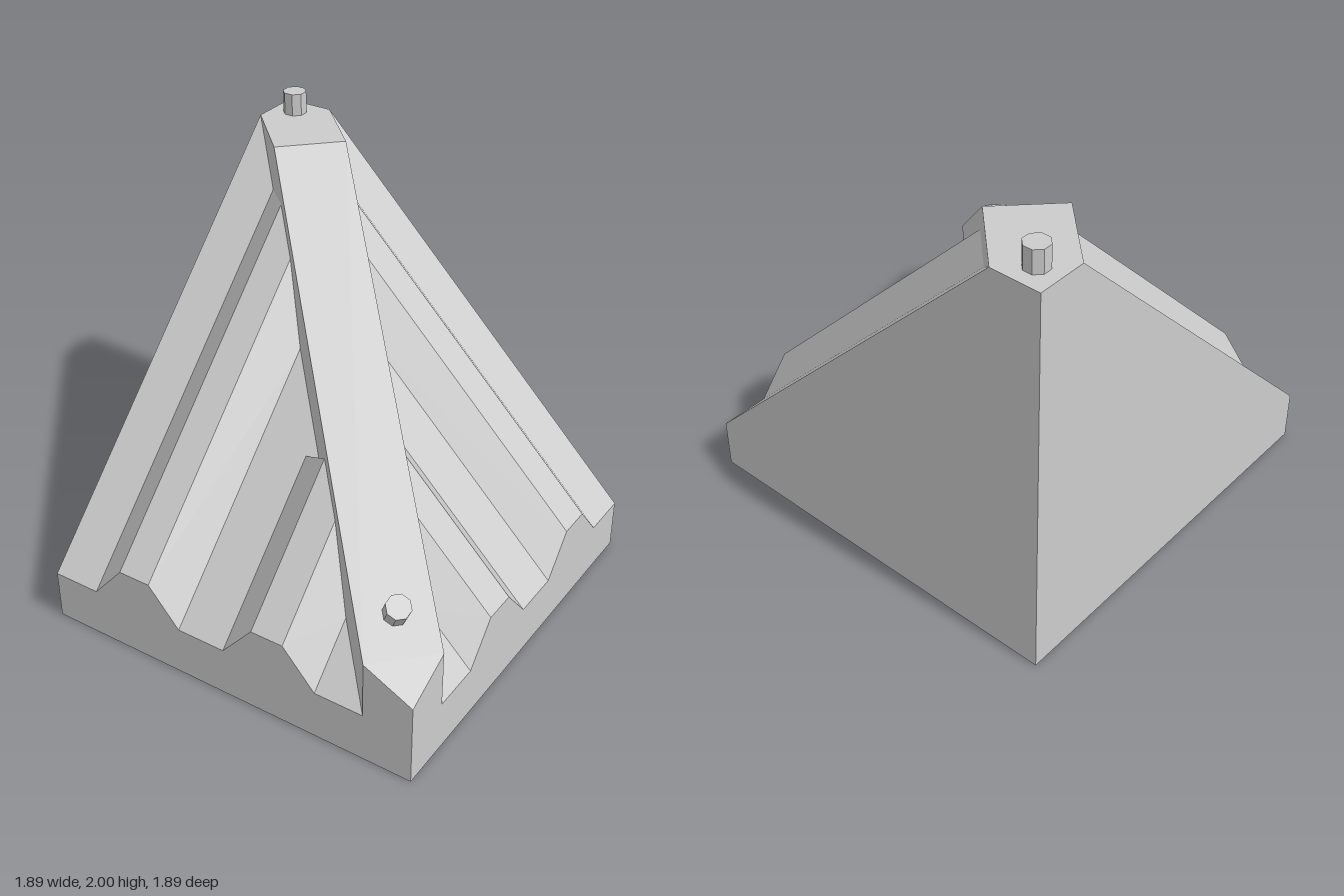
import * as THREE from 'three';
import { ConvexGeometry } from 'three/addons/geometries/ConvexGeometry.js';

const H = 0.945;      // half width of the square base
const W = 0.235;      // offset of the hip beam's walls from the diagonal
const TOP = 1.895;    // height of the flat peak
const EAVE = 0.24, RIB = 0.42;
const mat = new THREE.MeshStandardMaterial({ color: 0xcccccc, flatShading: true });

const v = (x, y, z) => new THREE.Vector3(x, y, z);

function mesh(name, geometry) {
  const m = new THREE.Mesh(geometry, mat);
  m.name = name;
  return m;
}

// Geometry from flat polygons; mirrored swaps x and z across the diagonal
function fromFaces(faces, mirrored) {
  const pos = [];
  const tri = new THREE.Triangle();
  for (const f of faces) {
    for (let i = 1; i < f.length - 1; i++) {
      tri.set(f[0], f[i], f[i + 1]);
      if (tri.getArea() < 1e-6) continue;
      const pts = mirrored ? [f[0], f[i + 1], f[i]] : [f[0], f[i], f[i + 1]];
      for (const p of pts) pos.push(...(mirrored ? [p.z, p.y, p.x] : [p.x, p.y, p.z]));
    }
  }
  const g = new THREE.BufferGeometry();
  g.setAttribute('position', new THREE.Float32BufferAttribute(pos, 3));
  g.computeVertexNormals();
  return g;
}

// Roof surface: eave profile height p climbing at 45 degrees
const onRoof = (x, p, z) => v(x, p + H - z, z);

// One ribbed roof slope, lofted across the eave profile
function roofFaces() {
  const profile = [
    [-H, EAVE], [-0.71, EAVE], [-0.555, RIB], [-0.395, RIB], [-0.24, EAVE], [0, EAVE],
    [0.155, EAVE], [0.155, RIB], [0.315, RIB], [0.473, EAVE], [H - W, EAVE],
  ];
  const sections = profile.map(([x, p]) =>
    [v(x, 0, x + W), v(x, 0, H), onRoof(x, p, H), onRoof(x, p, x + W)]);
  const faces = [sections[0]];
  for (let i = 0; i < sections.length - 1; i++) {
    const a = sections[i], b = sections[i + 1];
    if (a[0].x === b[0].x) continue;        // step is covered by the rib flank
    faces.push([a[1], b[1], b[2], a[2]]);   // eave wall
    faces.push([a[2], b[2], b[3], a[3]]);   // slope
    faces.push([a[0], b[0], b[1], a[1]]);   // underside
  }
  return faces;
}

// Sloping flank of the lower rib, cut off short of the beam
function flankFaces() {
  const x = 0.155;
  const a = onRoof(0, EAVE, H), b = onRoof(x, RIB, H), low = onRoof(x, EAVE, H);
  const c = onRoof(x, RIB, x + W), d = onRoof(0, EAVE, 0.305), e = onRoof(x, EAVE, x + W);
  return [[a, b, c, d], [a, low, b], [d, c, e]];
}

// Hip beam on the diagonal with the flat peak and sloping top
function hipBeam() {
  const k = H - W;
  const slopeY = (x, z) => TOP - 0.5 * (x + z + 1.105);
  const pts = [];
  const both = (x, y, z) => pts.push(v(x, y, z), v(z, y, x));
  both(-H, 0, -k);
  both(H, 0, k);
  both(-H, TOP, -k);
  both(-0.67, TOP, -0.435);
  both(H, slopeY(H, k), k);
  pts.push(v(-H, 0, -H), v(H, 0, H), v(-H, TOP, -H), v(H, slopeY(H, H), H));
  return mesh('hipBeam', new ConvexGeometry(pts));
}

function pin(name, height) {
  return mesh(name, new THREE.CylinderGeometry(0.056, 0.056, height, 8).rotateY(Math.PI / 8));
}

export function createModel() {
  const model = new THREE.Group();
  model.name = 'roofCorner';

  for (const [side, mirrored] of [['front', false], ['right', true]]) {
    model.add(mesh(side + 'RoofSlope', fromFaces(roofFaces(), mirrored)));
    model.add(mesh(side + 'RibFlank', fromFaces(flankFaces(), mirrored)));
  }
  model.add(hipBeam());

  // Upright pin on the peak
  const peakPin = pin('peakPin', 0.14);
  peakPin.position.set(-0.832, 1.93, -0.832);
  model.add(peakPin);

  // Pin square to the sloping top of the beam
  const normal = v(0.5, 1, 0.5).normalize();
  const lowerPin = pin('lowerPin', 0.1);
  lowerPin.quaternion.setFromUnitVectors(v(0, 1, 0), normal);
  lowerPin.position.set(0.735, 0.66, 0.735);
  model.add(lowerPin);

  return model;
}
